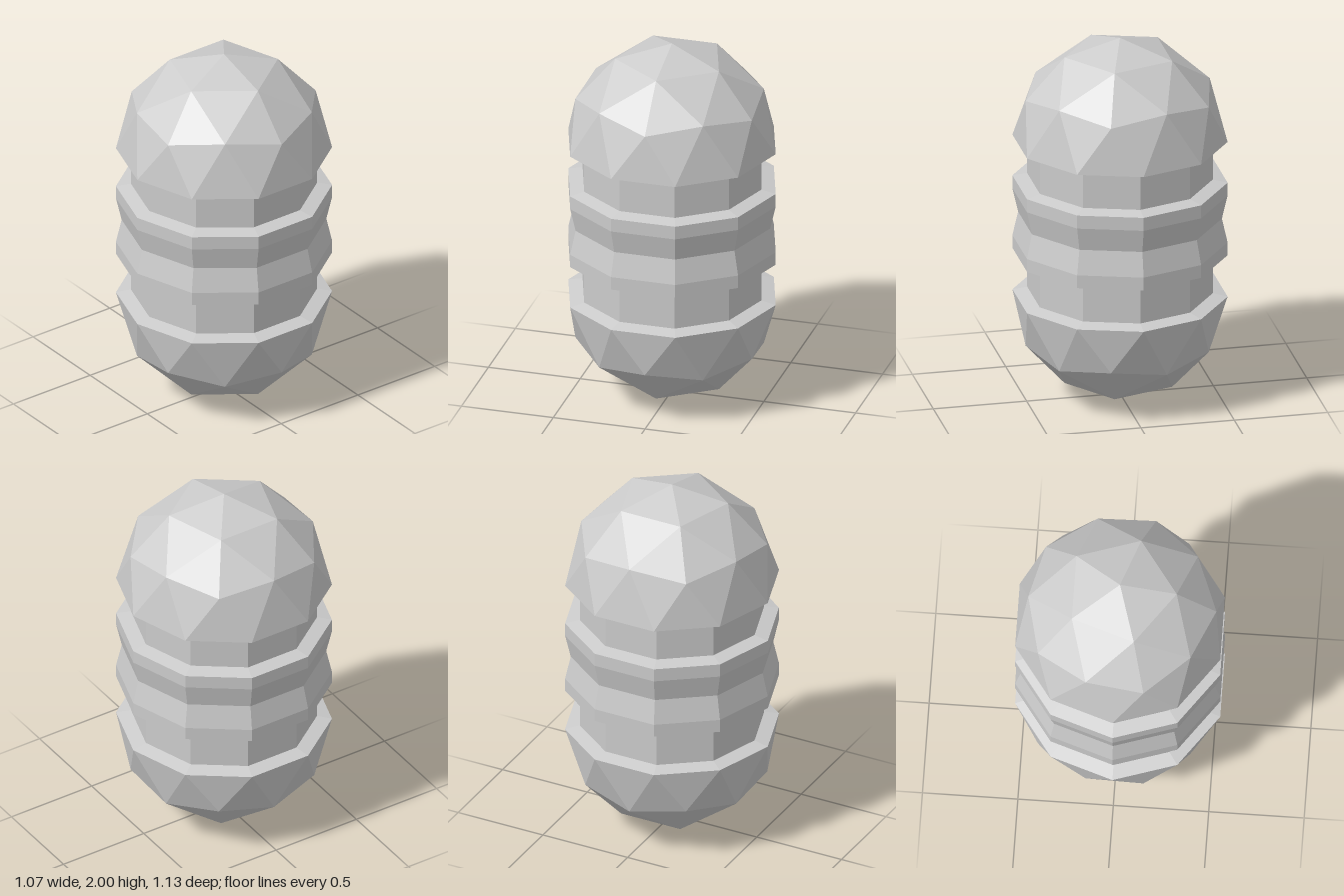
import * as THREE from 'three';

const R = 0.565;      // outer radius (corner of the ten-sided outline)
const NECK = 0.487;   // radius of the recessed necks
const WAIST = 0.535;  // radius at the pinch of the middle belt

const material = new THREE.MeshStandardMaterial({
  color: 0xcccccc, flatShading: true, side: THREE.DoubleSide,
});

// Half of a once-subdivided icosphere, pole up, equator at y = 0
function domeGeometry() {
  const point = (lat, deg) => {
    const a = THREE.MathUtils.degToRad(deg), l = THREE.MathUtils.degToRad(lat);
    return [R * Math.cos(l) * Math.cos(a), R * Math.sin(l), -R * Math.cos(l) * Math.sin(a)];
  };
  const positions = [];
  const tri = (...corners) => corners.forEach((c) => positions.push(...c));
  for (let k = 0; k < 5; k++) {
    const d = 72 * k;
    const pole = [0, R, 0];
    const a = point(58.28, d), aNext = point(58.28, d + 72);
    const b = point(26.57, d);
    const m = point(31.72, d + 36), mPrev = point(31.72, d - 36);
    const e0 = point(0, d - 18), e1 = point(0, d + 18), e2 = point(0, d + 54);
    const bNext = point(26.57, d + 72);
    tri(pole, a, aNext);
    tri(a, m, aNext);
    tri(a, b, m);
    tri(a, mPrev, b);
    tri(b, e0, e1);
    tri(b, e1, m);
    tri(m, e1, e2);
    tri(m, e2, bNext);
  }
  const geometry = new THREE.BufferGeometry();
  geometry.setAttribute('position', new THREE.Float32BufferAttribute(positions, 3));
  geometry.computeVertexNormals();
  return geometry;
}

// Ten-sided ring from a bottom-to-top profile of [radius, y]
function ring(name, profile) {
  const points = profile.map(([r, y]) => new THREE.Vector2(r, y));
  const geometry = new THREE.LatheGeometry(points, 10).toNonIndexed();
  geometry.computeVertexNormals();
  const mesh = new THREE.Mesh(geometry, material);
  mesh.name = name;
  return mesh;
}

export function createModel() {
  const group = new THREE.Group();
  group.name = 'capsule';

  // Faceted end caps; the lower one is the upper one turned over
  const dome = domeGeometry();
  const topDome = new THREE.Mesh(dome, material);
  topDome.name = 'topDome';
  topDome.position.y = 2 - R;
  const bottomDome = new THREE.Mesh(dome.clone().rotateX(Math.PI), material);
  bottomDome.name = 'bottomDome';
  bottomDome.position.y = R;
  group.add(topDome, bottomDome);

  // Recessed necks and the sloping rims that join them to the domes
  group.add(
    ring('bottomRim', [[R, R], [NECK, 0.582]]),
    ring('bottomNeck', [[NECK, 0.582], [NECK, 0.785]]),
    ring('topNeck', [[NECK, 1.221], [NECK, 1.42]]),
    ring('topRim', [[NECK, 1.42], [R, 2 - R]]),
  );

  // Middle belt with a pinched waist
  group.add(ring('middleBelt', [
    [NECK, 0.785], [R, 0.798], [R, 0.87], [WAIST, 1.003],
    [R, 1.133], [R, 1.206], [NECK, 1.221],
  ]));

  return group;
}
